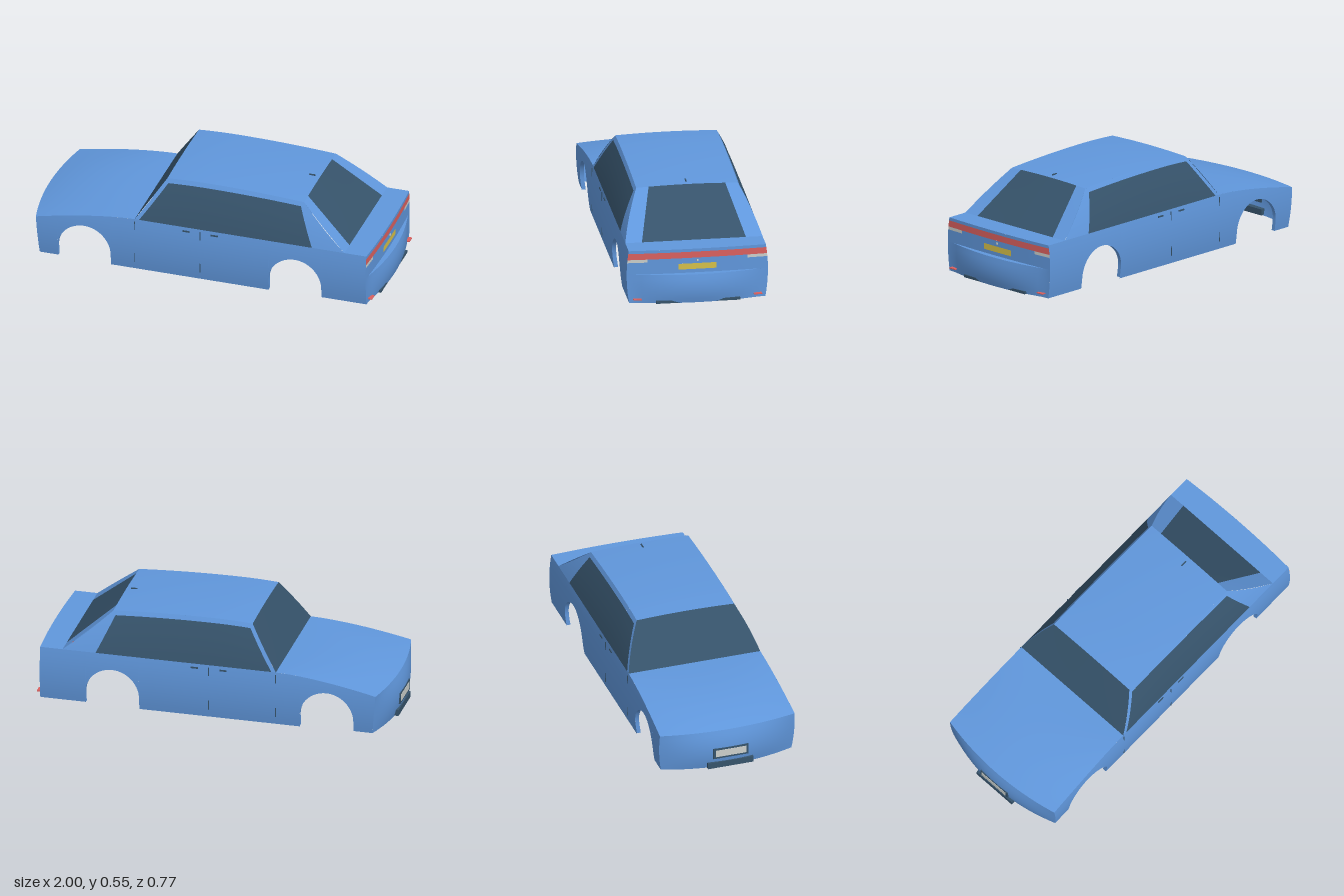
import * as THREE from 'three';

const lerp = THREE.MathUtils.lerp;
const BELT = 0.312, LEDGE = 0.175;

function material(name, color) {
  const m = new THREE.MeshStandardMaterial({ color, side: THREE.DoubleSide });
  m.name = name;
  return m;
}

// Surface patch from a rule p(u, v) -> [x, y, z]
function patch(nu, nv, p) {
  const pos = [], idx = [];
  for (let j = 0; j <= nv; j++)
    for (let i = 0; i <= nu; i++) pos.push(...p(i / nu, j / nv));
  for (let j = 0; j < nv; j++)
    for (let i = 0; i < nu; i++) {
      const a = j * (nu + 1) + i, b = a + 1, c = a + nu + 1, d = c + 1;
      idx.push(a, b, d, a, d, c);
    }
  const g = new THREE.BufferGeometry();
  g.setAttribute('position', new THREE.Float32BufferAttribute(pos, 3));
  g.setIndex(idx);
  g.computeVertexNormals();
  return g;
}

// Body lines
const halfWidth = y => 0.387 - 0.55 * (y - 0.17) ** 2;
const noseCorner = y => -0.915 - 0.085 * y;
const noseX = (s, y) => {
  const centre = -1 + 1.6 * (y - 0.12) ** 2;
  return lerp(centre, noseCorner(y), s * s);
};
const hoodY = (u, s) => 0.235 + (BELT - 0.235) * (1 - Math.max(0, 1 - u) ** (2.6 - s * s));
const sideTop = x => x > -0.375 ? BELT : hoodY(Math.max(0, (x + 0.935) / 0.56), 1);
const tailX = (s, y) => 0.945 + 0.012 * (1 - s * s);
const bumperX = (s, y) =>
  0.945 + (0.055 - 1.9 * (y - 0.1) ** 2) * Math.max(0, 1 - (s / 0.92) ** 2);

// Cabin lines
const cabinZ = v => lerp(0.376, 0.278, v) + 0.03 * v * (1 - v);
const roofEdge = x => 0.55 - (x < 0 ? 0.165 : 0.064) * x * x;
const roofY = (x, s) => roofEdge(x) + 0.007 * (1 - s * s);

export function createModel() {
  const car = new THREE.Group();
  car.name = 'car';
  const paint = material('blue paint', 0x6097dc);
  const glass = material('dark glass', 0x36536b);
  const red = material('red lamp', 0xda605f);
  const yellow = material('yellow plate', 0xd5c04a);
  const white = material('pale lamp', 0xcbcfcb);

  const add = (name, geometry, mat, parent = car) => {
    const m = new THREE.Mesh(geometry, mat);
    m.name = name;
    parent.add(m);
    return m;
  };
  const box = (name, mat, size, at) =>
    add(name, new THREE.BoxGeometry(...size), mat).position.set(...at);

  for (const side of [1, -1]) {
    const group = new THREE.Group();
    group.name = side > 0 ? 'leftSide' : 'rightSide';
    car.add(group);
    // Mirrored patch that keeps faces outward
    const panel = (name, mat, nu, nv, p) => add(name, patch(nu, nv, (u, v) => {
      const [x, y, z] = p(side > 0 ? u : 1 - u, v);
      return [x, y, z * side];
    }), mat, group);

    // Lower body between the wheel arches
    const lower = (name, x0, x1, bottom) => panel(name, paint, 14, 10, (u, v) => {
      const xr = lerp(x0, x1, u);
      const y = lerp(bottom, sideTop(xr), v);
      const x = x0 < -0.9 ? lerp(noseCorner(y), x1, u) : xr;
      return [x, y, halfWidth(y)];
    });
    lower('frontCorner', -0.935, -0.81, 0.012);
    lower('doorPanel', -0.51, 0.39, 0.004);
    lower('rearCorner', 0.69, 0.945, 0.012);

    // Wheel arches: panel above the opening and its inner lip
    for (const cx of [-0.66, 0.54]) {
      const r = 0.15, cy = 0.075;
      panel('archPanel', paint, 28, 8, (u, v) => {
        const a = Math.PI * (1 - u), x = cx + r * Math.cos(a);
        const y = lerp(cy + r * Math.sin(a), sideTop(x), v);
        return [x, y, halfWidth(y)];
      });
      panel('archLip', paint, 36, 1, (u, v) => {
        const a = lerp(Math.PI * 1.14, -Math.PI * 0.14, u);
        const x = cx + r * THREE.MathUtils.clamp(Math.cos(a) * (Math.sin(a) < 0 ? 2 : 1), -1, 1);
        const y = Math.sin(a) < 0 ? Math.max(0.012, cy + r * Math.sin(a)) : cy + r * Math.sin(a);
        return [x, y, halfWidth(y) - 0.022 * (1 - v)];
      });
    }

    // Upper side: pillars, window and roof rail
    const upper = (name, mat, left, right, v0, v1) => panel(name, mat, 16, 6, (u, k) => {
      const v = lerp(v0, v1, k), x = lerp(left(v), right(v), u);
      return [x, lerp(BELT, roofEdge(x), v), cabinZ(v)];
    });
    const front = v => lerp(-0.375, -0.22, v), rear = v => lerp(0.82, 0.56, v);
    const winFront = v => -0.35 + 0.155 * v, winRear = v => 0.635 - 0.1 * v;
    upper('frontPillar', paint, front, winFront, 0, 0.9);
    upper('sideWindow', glass, winFront, winRear, 0, 0.9);
    upper('rearPillar', paint, winRear, rear, 0, 0.9);
    upper('roofRail', paint, front, rear, 0.9, 1);

    // Door seams, handles and reflectors
    for (const x of [-0.375, 0])
      for (const y of [0.08, 0.27])
        box('doorSeam', glass, [0.004, 0.06, 0.004], [x, y, side * halfWidth(y)]);
    for (const x of [-0.08, 0.08])
      box('doorHandle', glass, [0.04, 0.008, 0.008], [x, 0.29, side * 0.379]);
    box('rearReflector', red, [0.03, 0.005, 0.045], [0.955, 0.036, side * 0.33]);
  }

  // Nose and hood
  add('nose', patch(20, 8, (u, v) => {
    const s = 2 * u - 1, y = lerp(0.012, 0.235, v);
    return [noseX(s, y), y, s * halfWidth(y)];
  }), paint);
  add('hood', patch(20, 18, (u, v) => {
    const s = 2 * u - 1, y = hoodY(v, s);
    const x = lerp(noseX(s, 0.235), -0.375, v);
    return [x, y, s * halfWidth(sideTop(x))];
  }), paint);
  box('frontPlateFrame', glass, [0.012, 0.062, 0.2], [-0.995, 0.105, 0]);
  box('frontPlate', white, [0.006, 0.04, 0.175], [-1.0, 0.105, 0]);
  box('frontSpoiler', glass, [0.04, 0.034, 0.26], [-0.978, 0.032, 0]);

  // Windscreen, roof and rear window
  add('windscreen', patch(14, 8, (u, v) => {
    const s = 2 * u - 1;
    return [lerp(-0.375, -0.22, v), lerp(BELT, roofY(-0.22, s), v), s * cabinZ(v)];
  }), glass);
  add('roof', patch(14, 20, (u, v) => {
    const s = 2 * u - 1, x = lerp(-0.22, 0.56, v);
    return [x, roofY(x, s), s * 0.278];
  }), paint);
  const back = (name, mat, z0, z1) => add(name, patch(10, 8, (u, v) => {
    const z = lerp(z0(v), z1(v), u);
    return [lerp(0.82, 0.56, v), lerp(BELT, roofY(0.56, z / cabinZ(v)), v), z];
  }), mat);
  const glassZ = v => lerp(0.285, 0.21, v);
  back('leftRearPillar', paint, cabinZ, glassZ);
  back('rearWindow', glass, glassZ, v => -glassZ(v));
  back('rightRearPillar', paint, v => -glassZ(v), v => -cabinZ(v));
  box('roofAerial', glass, [0.035, 0.008, 0.006], [0.515, 0.542, 0]);

  // Trunk lid
  add('trunkLid', patch(10, 1, (u, v) => {
    const s = 2 * u - 1;
    return [lerp(0.82, tailX(s), v), BELT, s * halfWidth(BELT)];
  }), paint);

  // Tail panel, tiled by colour: s runs from +1 (left) to -1 (right)
  const tail = (name, mat, y0, y1, s0 = 1, s1 = -1, rule = tailX) =>
    add(name, patch(20, 6, (u, v) => {
      const s = lerp(s0, s1, u), y = lerp(y0, y1, v);
      return [rule(s, y), y, s * halfWidth(y)];
    }), mat);
  tail('tailTop', paint, 0.295, BELT);
  tail('tailLightBand', red, 0.26, 0.295);
  tail('leftReverseLamp', white, 0.243, 0.26, 1, 0.715);
  tail('tailMiddle', paint, 0.243, 0.26, 0.715, -0.715);
  tail('rightReverseLamp', white, 0.243, 0.26, -0.715, -1);
  tail('tailAbovePlate', paint, 0.228, 0.243);
  tail('tailLeftOfPlate', paint, 0.195, 0.228, 1, 0.268);
  tail('rearPlate', yellow, 0.195, 0.228, 0.268, -0.268);
  tail('tailRightOfPlate', paint, 0.195, 0.228, -0.268, -1);
  tail('tailBelowPlate', paint, LEDGE, 0.195);
  tail('rearBumper', paint, 0.012, LEDGE, 1, -1, bumperX);
  add('bumperLedge', patch(20, 1, (u, v) => {
    const s = 2 * u - 1;
    return [lerp(tailX(s), bumperX(s, LEDGE), v), LEDGE, s * halfWidth(LEDGE)];
  }), paint);
  box('trunkLock', white, [0.006, 0.01, 0.01], [0.959, 0.246, 0]);
  box('rearSpoiler', glass, [0.05, 0.015, 0.46], [0.957, 0.02, 0]);

  return car;
}
